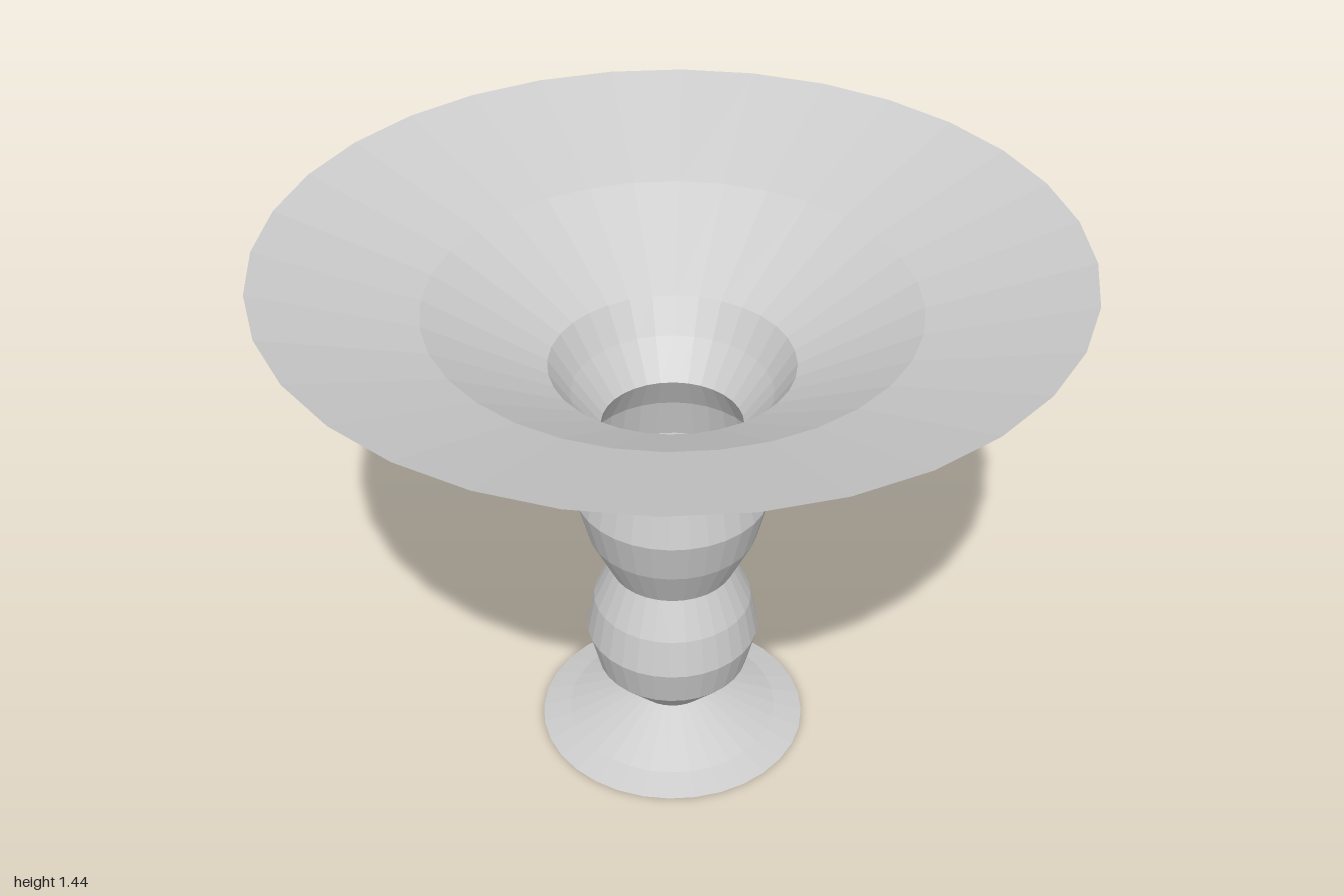
import * as THREE from 'three';

const SIDES = 32;

// Open, faceted surface of revolution from [radius, height] pairs, bottom to top
function turned(name, profile) {
  const points = profile.map(([r, y]) => new THREE.Vector2(r, y));
  const material = new THREE.MeshStandardMaterial({
    color: 0xcccccc, flatShading: true, side: THREE.DoubleSide,
  });
  const mesh = new THREE.Mesh(new THREE.LatheGeometry(points, SIDES), material);
  mesh.name = name;
  return mesh;
}

export function createModel() {
  const group = new THREE.Group();
  group.name = 'pedestalBowl';
  group.add(
    // Flared foot, open underneath
    turned('foot', [[0.355, 0], [0.28, 0.022], [0.104, 0.1]]),
    // Two hollow bulbs stacked as the stem
    turned('lowerBulb', [[0.104, 0.1], [0.2, 0.205], [0.227, 0.312], [0.208, 0.414], [0.163, 0.517]]),
    turned('upperBulb', [[0.163, 0.517], [0.22, 0.635], [0.25, 0.752], [0.227, 0.865], [0.179, 0.96]]),
    // Neck widening into the shallow dish
    turned('neck', [[0.179, 0.96], [0.252, 1.056], [0.306, 1.142]]),
    turned('dish', [[0.306, 1.142], [0.605, 1.308], [1, 1.436]]),
  );
  return group;
}
